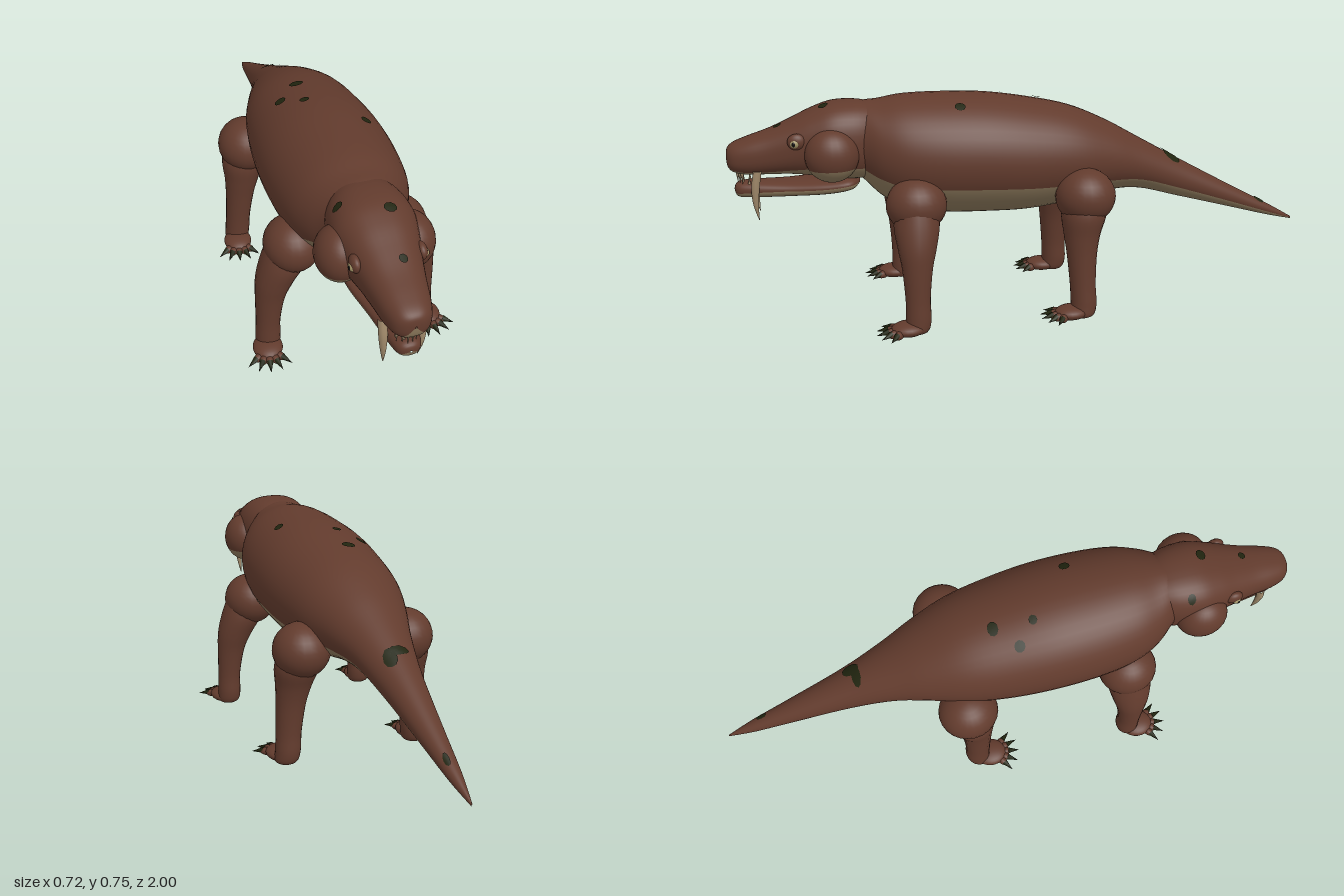
import * as THREE from 'three';

const mat = (name, color) => new THREE.MeshStandardMaterial({ name, color });

// Closed skin through rings of points; columns from seamCol on use the second material
function skin(rings, seamCol) {
  const n = rings[0].length, pos = rings.flat().flatMap(p => [p.x, p.y, p.z]);
  const upper = [], lower = [];
  for (let i = 0; i < rings.length - 1; i++) for (let j = 0; j < n; j++) {
    const a = i * n + j, b = i * n + (j + 1) % n, c = a + n, d = b + n;
    (j < seamCol ? upper : lower).push(a, c, b, b, c, d);
  }
  const g = new THREE.BufferGeometry();
  g.setAttribute('position', new THREE.Float32BufferAttribute(pos, 3));
  g.setIndex([...upper, ...lower]);
  g.addGroup(0, upper.length, 0);
  g.addGroup(upper.length, lower.length, 1);
  g.computeVertexNormals();
  return g;
}

// Smooth resampling of rows of numbers
function resample(rows, per) {
  const out = [], at = i => rows[Math.max(0, Math.min(rows.length - 1, i))];
  for (let i = 0; i < rows.length - 1; i++) for (let k = 0; k < per; k++) {
    const t = k / per;
    out.push(rows[i].map((p1, c) => {
      const p0 = at(i - 1)[c], p2 = at(i + 1)[c], p3 = at(i + 2)[c];
      return p1 + 0.5 * t * (p2 - p0 + t * (2 * p0 - 5 * p1 + 4 * p2 - p3 + t * (3 * (p1 - p2) + p3 - p0)));
    }));
  }
  out.push(rows[rows.length - 1]);
  return out;
}

// Body-like loft: sections of [z, top, bottom, half width, pale fraction of height]
function loft(sections, p) {
  const NU = 28, NL = 16, pw = v => Math.sign(v) * Math.abs(v) ** p;
  const rings = resample(sections, 5).map(([z, top, bot, w, f]) => {
    const a = -Math.asin(Math.abs(2 * f - 1) ** (1 / p)), ring = [];
    for (let j = 0; j < NU + NL; j++) {
      const t = j < NU ? a + (Math.PI - 2 * a) * j / NU
        : Math.PI - a + (Math.PI + 2 * a) * (j - NU) / NL;
      ring.push(new THREE.Vector3(w * pw(Math.cos(t)), (top + bot) / 2 + (top - bot) / 2 * pw(Math.sin(t)), z));
    }
    return ring;
  });
  return skin(rings, NU);
}

// Limb-like loft: horizontal rings at [x, y, z, radius], from the top down
function limb(path, sides = 20) {
  return skin(resample(path, 5).map(([x, y, z, r]) => Array.from({ length: sides }, (_, j) => {
    const t = j / sides * Math.PI * 2;
    return new THREE.Vector3(x + r * Math.cos(t), y, z - r * Math.sin(t));
  })), sides);
}

// Height of the upper surface of a sectioned form at (x, z)
function surfaceY(sections, p, x, z) {
  const rows = resample(sections, 5);
  let i = 0;
  while (i < rows.length - 2 && rows[i + 1][0] > z) i++;
  const t = (rows[i][0] - z) / (rows[i][0] - rows[i + 1][0]);
  const [, top, bot, w] = rows[i].map((v, c) => v + (rows[i + 1][c] - v) * t);
  const c = Math.min(1, Math.abs(x) / w) ** (1 / p);
  return (top + bot) / 2 + (top - bot) / 2 * Math.sqrt(Math.max(0, 1 - c * c)) ** p;
}

const BODY = [
  [0.62, 0.70, 0.51, 0.09, 0.2], [0.56, 0.73, 0.47, 0.12, 0.2], [0.5, 0.736, 0.41, 0.165, 0.26],
  [0.42, 0.748, 0.365, 0.198, 0.28], [0.3, 0.75, 0.342, 0.216, 0.3], [0.15, 0.744, 0.335, 0.22, 0.3],
  [0, 0.722, 0.335, 0.21, 0.3], [-0.15, 0.688, 0.355, 0.186, 0.28], [-0.28, 0.632, 0.382, 0.145, 0.25],
  [-0.4, 0.565, 0.382, 0.104, 0.27], [-0.55, 0.48, 0.342, 0.07, 0.3], [-0.75, 0.37, 0.288, 0.042, 0.33],
  [-0.9, 0.29, 0.247, 0.022, 0.35], [-1, 0.232, 0.224, 0.002, 0.35],
];
const HEAD = [
  [1, 0.568, 0.562, 0.003, 0.12], [0.995, 0.593, 0.53, 0.032, 0.12], [0.975, 0.61, 0.512, 0.056, 0.12],
  [0.93, 0.627, 0.503, 0.072, 0.12], [0.86, 0.65, 0.502, 0.085, 0.12], [0.79, 0.68, 0.5, 0.1, 0.14],
  [0.72, 0.712, 0.492, 0.118, 0.18], [0.65, 0.734, 0.48, 0.132, 0.2], [0.57, 0.735, 0.475, 0.125, 0.2],
  [0.5, 0.72, 0.48, 0.1, 0.2],
];
const JAW = [
  [0.98, 0.456, 0.45, 0.003, 0.3], [0.97, 0.474, 0.43, 0.03, 0.3], [0.93, 0.48, 0.424, 0.045, 0.4],
  [0.8, 0.478, 0.424, 0.065, 0.5], [0.68, 0.484, 0.428, 0.088, 0.5], [0.6, 0.49, 0.44, 0.088, 0.5],
  [0.57, 0.47, 0.46, 0.03, 0.5],
];

export function createModel() {
  const model = new THREE.Group();
  const hide = mat('brown hide', 0x623b2d), belly = mat('pale belly', 0x8a775a);
  const dark = mat('dark markings', 0x20240f), ivory = mat('ivory teeth', 0xa18a6b);
  const iris = mat('eye yellow', 0xa39568), pupil = mat('black pupil', 0x0c0c0a);
  const add = (name, geo, material, parent = model) => {
    const m = new THREE.Mesh(geo, material);
    m.name = name;
    parent.add(m);
    return m;
  };
  const ball = (name, [x, y, z], [rx, ry, rz], material, parent) =>
    add(name, new THREE.SphereGeometry(1, 24, 16).scale(rx, ry, rz).translate(x, y, z), material, parent);

  add('bodyAndTail', loft(BODY, 1), [hide, belly]);
  add('head', loft(HEAD, 0.82), [hide, belly]);
  add('lowerJaw', loft(JAW, 0.85), [hide, belly]);

  // Foot with fanned toes and claws, facing +z and slightly outward
  function foot(s, x, z, parent) {
    const g = new THREE.Group();
    g.name = 'foot';
    g.position.set(x * s, 0, z);
    g.rotation.y = s * 0.15;
    parent.add(g);
    ball('footPad', [0, 0.025, -0.01], [0.05, 0.024, 0.058], hide, g);
    for (let k = -2; k <= 2; k++) {
      const toe = new THREE.Group();
      toe.name = 'toe';
      toe.rotation.y = k * 0.42;
      g.add(toe);
      ball('toePad', [0, 0.019, 0.042], [0.014, 0.014, 0.027], hide, toe);
      const claw = add('claw', new THREE.ConeGeometry(0.011, 0.042, 8), dark, toe);
      claw.rotation.x = Math.PI / 2 + 0.2;
      claw.position.set(0, 0.018, 0.077);
    }
  }

  for (const s of [1, -1]) {
    const side = s > 0 ? 'left' : 'right';
    const limbPath = rows => rows.map(([x, y, z, r]) => [x * s, y, z, r]);

    // Legs
    const front = new THREE.Group(), back = new THREE.Group();
    front.name = side + 'FrontLeg';
    back.name = side + 'BackLeg';
    model.add(front, back);
    ball('shoulder', [0.177 * s, 0.415, 0.398], [0.094, 0.092, 0.1], hide, front);
    add('leg', limb(limbPath([[0.2, 0.43, 0.4, 0.06], [0.21, 0.36, 0.402, 0.075], [0.238, 0.29, 0.405, 0.064],
      [0.256, 0.22, 0.408, 0.05], [0.266, 0.12, 0.41, 0.041], [0.268, 0.05, 0.41, 0.042], [0.27, 0.012, 0.415, 0.036],
      [0.27, 0.004, 0.415, 0.002]])), hide, front);
    foot(s, 0.28, 0.455, front);
    ball('hip', [0.187 * s, 0.415, -0.168], [0.097, 0.094, 0.102], hide, back);
    add('leg', limb(limbPath([[0.195, 0.43, -0.165, 0.06], [0.2, 0.36, -0.16, 0.076], [0.21, 0.29, -0.152, 0.062],
      [0.22, 0.22, -0.15, 0.051], [0.23, 0.12, -0.152, 0.044], [0.235, 0.05, -0.155, 0.044], [0.24, 0.012, -0.15, 0.038],
      [0.24, 0.004, -0.15, 0.002]])), hide, back);
    foot(s, 0.247, -0.1, back);

    // Cheek muscles with a pale underside
    const cheek = (a, l) => new THREE.SphereGeometry(1, 24, 14, 0, Math.PI * 2, a, l)
      .scale(0.075, 0.088, 0.088).translate(0.11 * s, 0.577, 0.66);
    add(side + 'Cheek', cheek(0, 2.05), hide);
    add(side + 'CheekUnderside', cheek(2.05, Math.PI - 2.05), belly);

    // Eyes
    ball(side + 'EyeSocket', [0.099 * s, 0.625, 0.77], [0.018, 0.027, 0.03], hide);
    ball(side + 'Eye', [0.107 * s, 0.621, 0.776], [0.014, 0.015, 0.016], iris);
    ball(side + 'Pupil', [0.116 * s, 0.621, 0.779], [0.006, 0.009, 0.007], pupil);

    // Sabre teeth and incisors
    add(side + 'SabreTooth', limb(limbPath([[0.06, 0.525, 0.9, 0.014], [0.059, 0.47, 0.91, 0.014],
      [0.057, 0.41, 0.912, 0.009], [0.053, 0.356, 0.905, 0.001]]), 10), ivory);
    for (let k = 0; k < 3; k++) {
      const t = add(side + 'Incisor', new THREE.ConeGeometry(0.006, 0.04, 8), ivory);
      t.rotation.x = Math.PI;
      t.position.set(s * (0.007 + k * 0.014), 0.495, 0.967 - k * 0.008);
    }
    for (let k = 0; k < 2; k++) {
      add(side + 'LowerTooth', new THREE.ConeGeometry(0.005, 0.03, 8), ivory)
        .position.set(s * (0.012 + k * 0.016), 0.486, 0.95 - k * 0.02);
    }
  }

  // Dark spots draped over the skin: [x, z, radius x, radius z]
  const spots = (sections, p, list) => list.forEach(([x, z, rx, rz]) => {
    const g = new THREE.RingGeometry(0.001, 1, 10, 4);
    const a = g.attributes.position;
    for (let i = 0; i < a.count; i++) {
      const px = x + a.getX(i) * rx, pz = z - a.getY(i) * rz;
      a.setXYZ(i, px, surfaceY(sections, p, px, pz) + 0.004, pz);
    }
    g.computeVertexNormals();
    add('spot', g, dark);
  });
  spots(BODY, 1, [[-0.035, -0.04, 0.024, 0.018], [-0.11, 0.03, 0.018, 0.018], [-0.045, 0.09, 0.016, 0.014],
    [0.115, 0.24, 0.016, 0.018], [0.03, -0.52, 0.022, 0.03], [0, -0.505, 0.04, 0.016], [0.012, -0.865, 0.009, 0.02]]);
  spots(HEAD, 0.82, [[-0.1, 0.61, 0.014, 0.014], [0.035, 0.68, 0.02, 0.016], [0.022, 0.83, 0.013, 0.013]]);

  return model;
}
